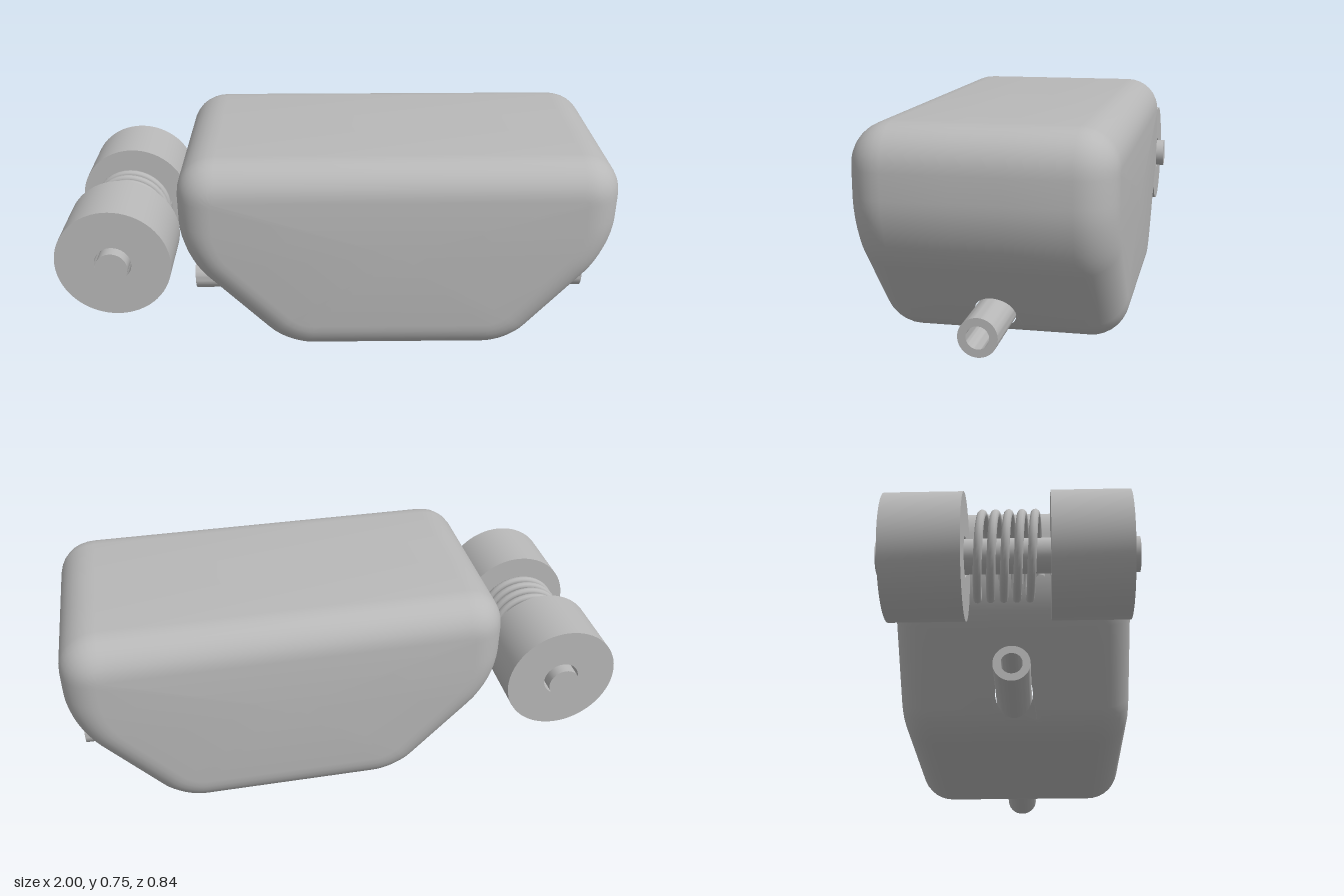
import * as THREE from 'three';
import { mergeGeometries, toCreasedNormals } from 'three/addons/utils/BufferGeometryUtils.js';

const grey = new THREE.MeshStandardMaterial({ color: 0xb8b8b8 });
grey.name = 'plain grey';

const PIPE_Y = 0.117, HOLE_R = 0.067;            // pipe axis height and its hole in the body
const WIN = { w: 0.08, y0: 0.04, y1: 0.2 };      // patch of each sloping end that holds the hole

function add(parent, name, geometry) {
  const mesh = new THREE.Mesh(geometry, grey);
  mesh.name = name;
  parent.add(mesh);
  return mesh;
}

// Hollow cylinder along z, centred on the origin
function ringGeometry(outer, inner, length, segments) {
  const shape = new THREE.Shape().absarc(0, 0, outer, 0, Math.PI * 2);
  shape.holes.push(new THREE.Path().absarc(0, 0, inner, 0, Math.PI * 2, true));
  const g = new THREE.ExtrudeGeometry(shape, { depth: length, bevelEnabled: false, curveSegments: segments });
  g.translate(0, 0, -length / 2);
  return toCreasedNormals(g, 0.6);
}

// Hull outline: x, y, rounding length of each corner (counter-clockwise)
function hullProfile() {
  const corners = [
    [-0.185, 0, 0.1], [0.65, 0, 0.1], [1, 0.4, 0.13],
    [1, 0.755, 0.14], [-0.56, 0.755, 0.14], [-0.56, 0.383, 0.13],
  ];
  const points = [];
  corners.forEach(([x, y, r], i) => {
    const c = new THREE.Vector2(x, y);
    const toward = (j) => new THREE.Vector2(...corners[(j + 6) % 6].slice(0, 2)).sub(c).setLength(r).add(c);
    const a = toward(i - 1), b = toward(i + 1);
    const curve = new THREE.CubicBezierCurve(a, a.clone().lerp(c, 0.58), b.clone().lerp(c, 0.58), b);
    points.push(...curve.getPoints(8));
  });
  // Extra points where the hole patches begin and end
  const out = [];
  points.forEach((a, i) => {
    const b = points[(i + 1) % points.length];
    out.push(a);
    [WIN.y0, WIN.y1].map((y) => (y - a.y) / (b.y - a.y))
      .filter((t) => t > 0 && t < 1).sort((s, t) => s - t)
      .forEach((t) => out.push(a.clone().lerp(b, t)));
  });
  return out;
}

function hullGeometry() {
  const profile = hullProfile(), n = profile.length;
  const half = 0.415, bevel = 0.125, steps = 8;
  const normals = profile.map((p, i) => {
    const a = p.clone().sub(profile[(i + n - 1) % n]).normalize();
    const b = profile[(i + 1) % n].clone().sub(p).normalize();
    const t = a.add(b).normalize();
    return new THREE.Vector2(t.y, -t.x);
  });

  // Rounded side edges: stations [z, inset] from back to front
  const back = [];
  for (let i = 0; i <= steps; i++) {
    const t = (i / steps) * Math.PI / 2;
    back.push([-(half - bevel) - bevel * Math.cos(t), bevel * (1 - Math.sin(t))]);
  }
  back.push([-WIN.w, 0]);
  const stations = [...back, ...back.map(([z, d]) => [-z, d]).reverse()];
  const rings = stations.map(([z, d]) => profile.map((p, i) =>
    new THREE.Vector3(p.x - normals[i].x * d, p.y - normals[i].y * d, z)));

  const verts = [];
  const tri = (...vs) => vs.forEach((v) => verts.push(v.x, v.y, v.z));
  const last = rings.length - 1;
  for (let i = 0; i < n; i++) {
    const j = (i + 1) % n, midY = (profile[i].y + profile[j].y) / 2;
    for (let k = 0; k < last; k++) {
      if (k === back.length - 1 && midY > WIN.y0 && midY < WIN.y1) continue;
      tri(rings[k][i], rings[k][j], rings[k + 1][j]);
      tri(rings[k][i], rings[k + 1][j], rings[k + 1][i]);
    }
    tri(new THREE.Vector3(0.22, 0.42, -half), rings[0][j], rings[0][i]);
    tri(new THREE.Vector3(0.22, 0.42, half), rings[last][i], rings[last][j]);
  }
  const shell = new THREE.BufferGeometry();
  shell.setAttribute('position', new THREE.Float32BufferAttribute(verts, 3));

  // Sloping end patches with a round hole for the pipe
  const patches = [1, -1].map((side) => {
    const edge = profile.filter((p) => (p.x - 0.22) * side > 0 && p.y > WIN.y0 - 1e-6 && p.y < WIN.y1 + 1e-6)
      .sort((a, b) => a.y - b.y);
    const xAt = (y) => {
      let i = 0;
      while (i < edge.length - 2 && edge[i + 1].y < y) i++;
      const a = edge[i], b = edge[i + 1];
      return a.x + (b.x - a.x) * (y - a.y) / (b.y - a.y);
    };
    const shape = new THREE.Shape([
      ...edge.map((p) => new THREE.Vector2(WIN.w, p.y)),
      ...edge.map((p) => new THREE.Vector2(-WIN.w, p.y)).reverse(),
    ]);
    shape.holes.push(new THREE.Path().absarc(0, PIPE_Y, HOLE_R, 0, Math.PI * 2, true));
    const g = new THREE.ShapeGeometry(shape, 24).toNonIndexed();
    const pos = g.attributes.position;
    for (let i = 0; i < pos.count; i++) {
      const u = pos.getX(i), y = pos.getY(i);
      pos.setXYZ(i, xAt(y), y, -u * side);
    }
    g.deleteAttribute('uv');
    g.deleteAttribute('normal');
    return g;
  });
  return toCreasedNormals(mergeGeometries([shell, ...patches]), 0.7);
}

// Coil spring wound around the z axis
class Coil extends THREE.Curve {
  getPoint(t, target = new THREE.Vector3()) {
    const a = -t * 5 * Math.PI * 2;
    return target.set(0.135 * Math.cos(a), 0.135 * Math.sin(a), -0.11 + 0.21 * t);
  }
}

export function createModel() {
  const model = new THREE.Group();
  model.name = 'hull with wheel set';

  add(model, 'hull', hullGeometry());

  // Hollow pipe running lengthwise through the hull
  const pipe = add(model, 'pipe', ringGeometry(0.0635, 0.037, 1.535, 24));
  pipe.rotation.y = Math.PI / 2;
  pipe.position.set(0.2175, PIPE_Y, 0);

  // Wheels, axle and spring
  const wheelSet = new THREE.Group();
  wheelSet.name = 'wheelSet';
  wheelSet.position.set(-0.793, 0.38, 0);
  model.add(wheelSet);

  add(wheelSet, 'frontWheel', ringGeometry(0.207, 0.066, 0.252, 32)).position.z = 0.26;
  add(wheelSet, 'backWheel', ringGeometry(0.207, 0.066, 0.252, 32)).position.z = -0.266;

  const axle = add(wheelSet, 'axle', new THREE.CylinderGeometry(0.057, 0.057, 0.838, 40));
  axle.rotation.x = Math.PI / 2;
  axle.position.z = -0.003;

  const spring = new THREE.Group();
  spring.name = 'spring';
  wheelSet.add(spring);
  const coil = new Coil();
  add(spring, 'springWire', new THREE.TubeGeometry(coil, 200, 0.014, 10, false));
  [0, 1].forEach((t) => {
    const cap = add(spring, 'springEnd', new THREE.CircleGeometry(0.014, 10));
    const p = coil.getPoint(t);
    cap.position.copy(p);
    cap.lookAt(p.clone().addScaledVector(coil.getTangent(t), t ? 1 : -1));
  });

  return model;
}
